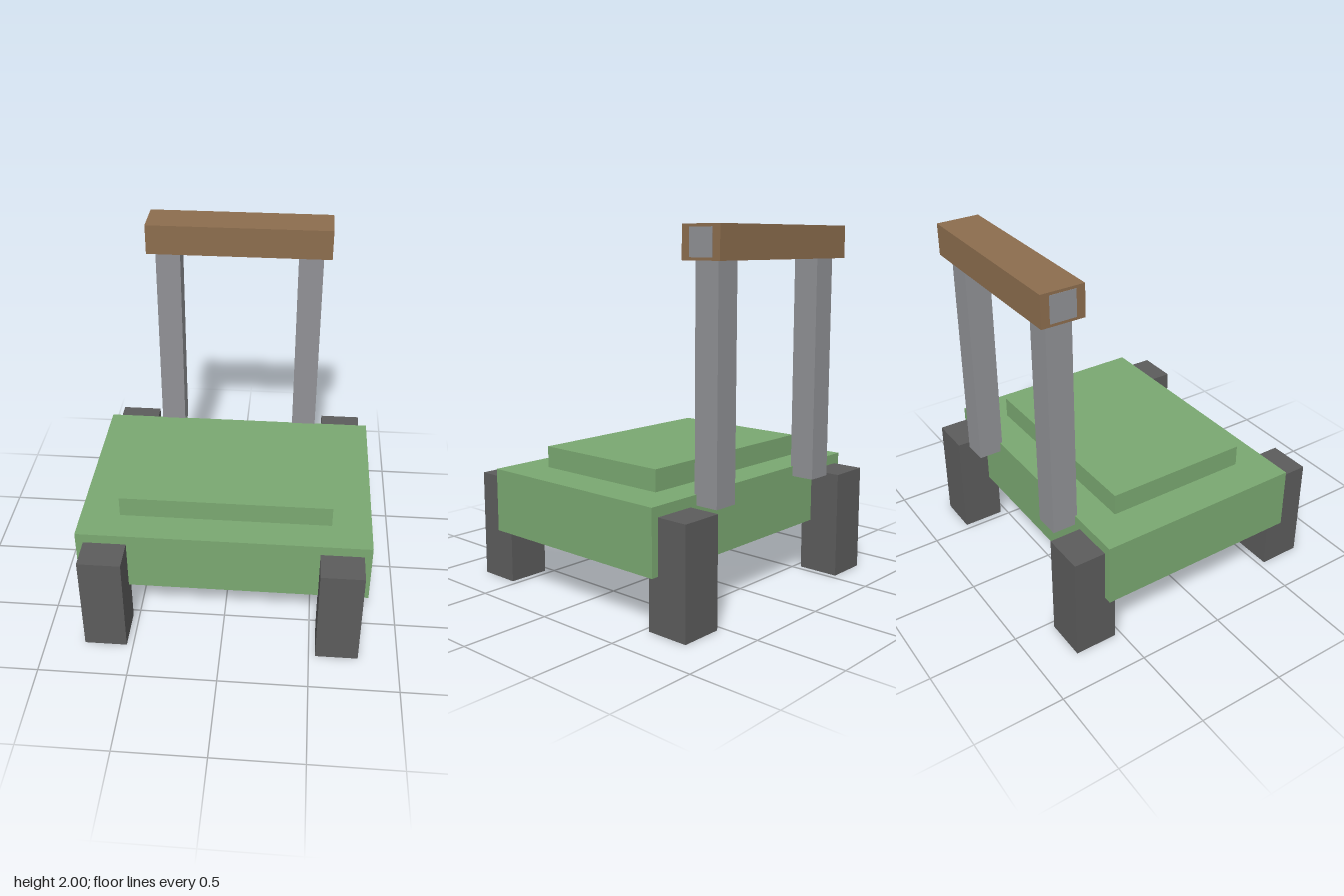
import * as THREE from 'three';

const material = (name, color) => {
  const m = new THREE.MeshStandardMaterial({ color });
  m.name = name;
  return m;
};

export function createModel() {
  const green = material('green body', 0x7aa871);
  const dark = material('dark grey', 0x5c5c5c);
  const steel = material('steel grey', 0x909195);
  const wood = material('brown wood', 0x8c6d4e);
  const yellow = material('yellow', 0xcabe65);

  const model = new THREE.Group();
  model.name = 'pushCart';

  // Box from its centre x, z, its bottom and top heights, and its width and depth
  const box = (name, mat, x, z, bottom, top, width, depth) => {
    const mesh = new THREE.Mesh(new THREE.BoxGeometry(width, top - bottom, depth), mat);
    mesh.position.set(x, (bottom + top) / 2, z);
    mesh.name = name;
    model.add(mesh);
  };

  // Body with raised deck and underside plate
  box('body', green, 0, 0, 0.3, 0.657, 1.64, 1.195);
  box('deck', green, 0, 0, 0.657, 0.777, 1.195, 0.83);
  box('undersidePlate', yellow, 0, 0, 0.18, 0.3, 0.655, 0.655);

  // Four corner legs and two handle posts
  for (const [side, sx] of [['left', 1], ['right', -1]]) {
    for (const [end, sz] of [['Front', 1], ['Back', -1]]) {
      box(`${side}${end}Leg`, dark, sx * 0.657, sz * 0.657, 0, 0.6, 0.24, 0.24);
    }
    box(`${side}Post`, steel, sx * 0.418, -0.657, 0.6, 1.9, 0.145, 0.145);
  }

  // Wooden grip around a steel crossbar whose ends show
  box('grip', wood, 0, -0.657, 1.825, 2, 1.075, 0.24);
  box('crossbar', steel, 0, -0.657, 1.84, 1.985, 1.078, 0.145);

  return model;
}
